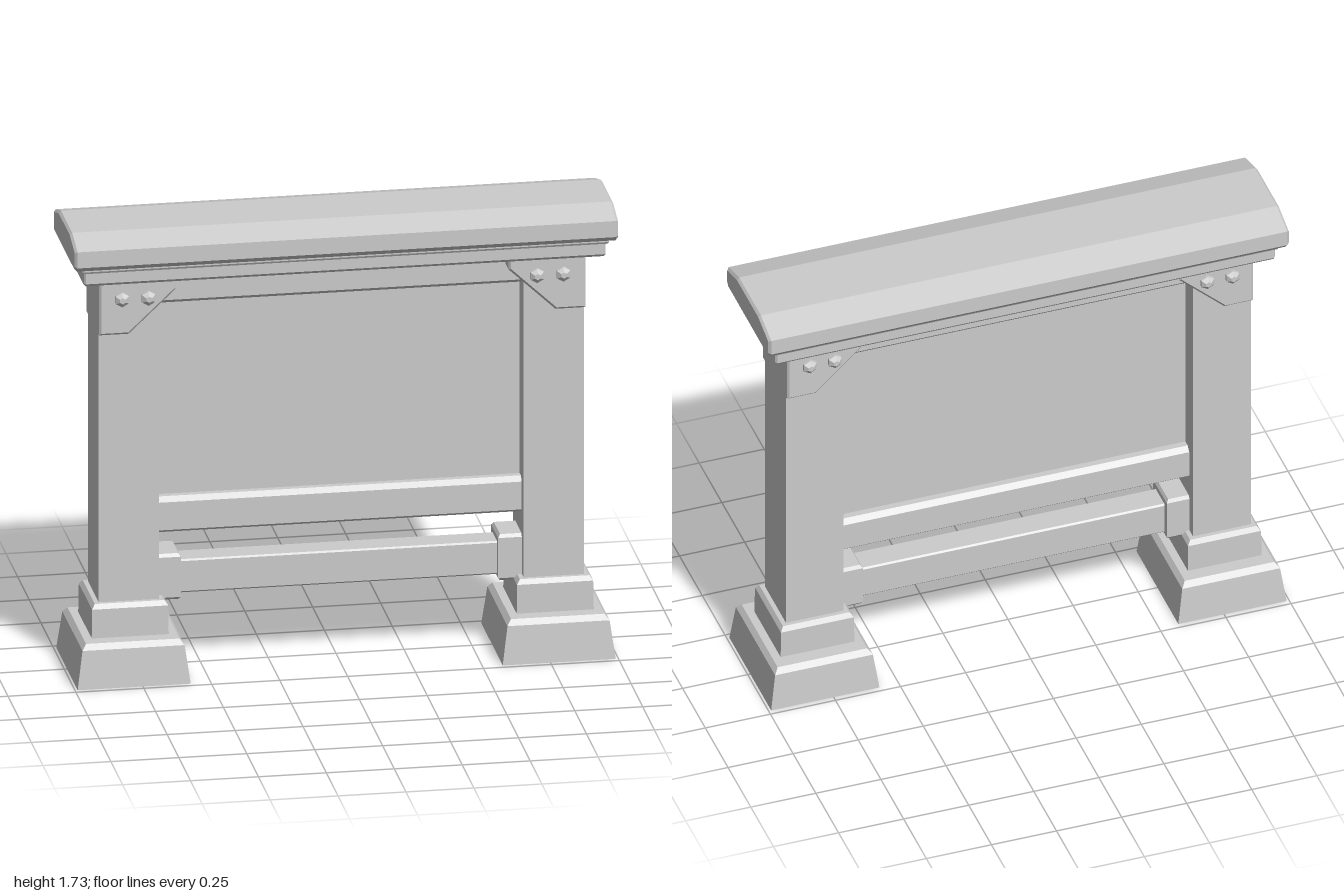
import * as THREE from 'three';

const material = new THREE.MeshStandardMaterial({ color: 0xcccccc, flatShading: true });

function add(parent, name, geometry, x = 0, y = 0, z = 0) {
  const mesh = new THREE.Mesh(geometry, material);
  mesh.name = name;
  mesh.position.set(x, y, z);
  parent.add(mesh);
  return mesh;
}

// Outline extruded to a total depth, centred, with one-step chamfered ends
function chamferedExtrude(points, depth, chamfer) {
  const shape = new THREE.Shape(points.map(([x, y]) => new THREE.Vector2(x, y)));
  const geometry = new THREE.ExtrudeGeometry(shape, {
    depth: depth - 2 * chamfer,
    bevelEnabled: chamfer > 0,
    bevelThickness: chamfer,
    bevelSize: chamfer,
    bevelOffset: -chamfer,
    bevelSegments: 1,
  });
  return geometry.translate(0, 0, chamfer - depth / 2);
}

// Symmetric [z, y] half profile, listed bottom to top, run along x
function beam(half, length, chamfer) {
  const mirrored = half.map(([z, y]) => [-z, y]).reverse();
  return chamferedExtrude([...half, ...mirrored], length, chamfer).rotateY(Math.PI / 2);
}

// Stack of rectangles, each layer given as [y, half width, half depth]
function stack(layers) {
  const positions = [];
  const index = [];
  for (const [y, w, d] of layers) positions.push(-w, y, d, w, y, d, w, y, -d, -w, y, -d);
  for (let l = 0; l < layers.length - 1; l++) {
    for (let i = 0; i < 4; i++) {
      const a = l * 4 + i;
      const b = l * 4 + (i + 1) % 4;
      index.push(a, b, b + 4, a, b + 4, a + 4);
    }
  }
  const t = (layers.length - 1) * 4;
  index.push(0, 2, 1, 0, 3, 2, t, t + 1, t + 2, t, t + 2, t + 3);
  const geometry = new THREE.BufferGeometry();
  geometry.setAttribute('position', new THREE.Float32BufferAttribute(positions, 3));
  geometry.setIndex(index);
  const flat = geometry.toNonIndexed();
  flat.computeVertexNormals();
  return flat;
}

function createPost(side) {
  const post = new THREE.Group();
  post.name = side > 0 ? 'leftPost' : 'rightPost';
  const cx = side * 0.782;

  // Foot, plinth and shaft
  add(post, 'foot', stack([[0, 0.208, 0.23], [0.145, 0.188, 0.216], [0.165, 0.172, 0.198]]), cx);
  add(post, 'plinth', stack([
    [0.155, 0.142, 0.145], [0.275, 0.14, 0.143], [0.292, 0.128, 0.13],
  ]), cx);
  add(post, 'shaft', new THREE.BoxGeometry(0.222, 1.27, 0.228), cx, 0.915);

  // Cut-corner bracket wrapping the head of the post
  const outline = [[0.612, 1.55], [0.612, 1.49], [0.785, 1.327], [0.895, 1.327], [0.895, 1.55]]
    .map(([x, y]) => [side * x, y]);
  add(post, 'bracket', chamferedExtrude(outline, 0.276, 0.008));

  // Domed hexagonal bolts on both faces
  for (const face of [1, -1]) {
    for (const x of [0.715, 0.812]) {
      const bolt = new THREE.Group();
      bolt.name = 'bolt';
      bolt.position.set(side * x, 1.465, face * 0.136);
      bolt.rotation.x = face * Math.PI / 2;
      add(bolt, 'boltShank', new THREE.CylinderGeometry(0.028, 0.028, 0.014, 6), 0, 0.007);
      add(bolt, 'boltHead', new THREE.CylinderGeometry(0.012, 0.028, 0.013, 6), 0, 0.0205);
      post.add(bolt);
    }
  }

  // Collar holding the stretcher
  add(post, 'stretcherCollar', stack([
    [0.27, 0.042, 0.066], [0.28, 0.05, 0.075], [0.435, 0.05, 0.075], [0.447, 0.042, 0.066],
  ]), side * 0.634);
  return post;
}

export function createModel() {
  const model = new THREE.Group();
  model.name = 'noticeBoard';

  // Capping with sloped shoulders, over a stepped moulding
  add(model, 'topCap', beam([
    [0.218, 1.61], [0.234, 1.628], [0.234, 1.69], [0.12, 1.725],
  ], 2, 0.009));
  add(model, 'upperMoulding', beam([[0.2, 1.592], [0.205, 1.6], [0.205, 1.618]], 1.94, 0.004));
  add(model, 'lowerMoulding', beam([[0.186, 1.54], [0.194, 1.55], [0.194, 1.6]], 1.92, 0.006));

  // Framed panel
  add(model, 'panel', new THREE.BoxGeometry(1.36, 0.92, 0.06), 0, 1.04);
  add(model, 'topRail', beam([
    [0.062, 1.415], [0.073, 1.427], [0.073, 1.534], [0.062, 1.546],
  ], 1.36, 0));
  add(model, 'bottomRail', beam([
    [0.062, 0.53], [0.073, 0.54], [0.073, 0.647], [0.055, 0.665],
  ], 1.36, 0));

  // Low stretcher between the posts
  add(model, 'stretcher', beam([
    [0.046, 0.287], [0.052, 0.293], [0.052, 0.409], [0.046, 0.415],
  ], 1.24, 0));

  for (const side of [1, -1]) model.add(createPost(side));
  return model;
}
